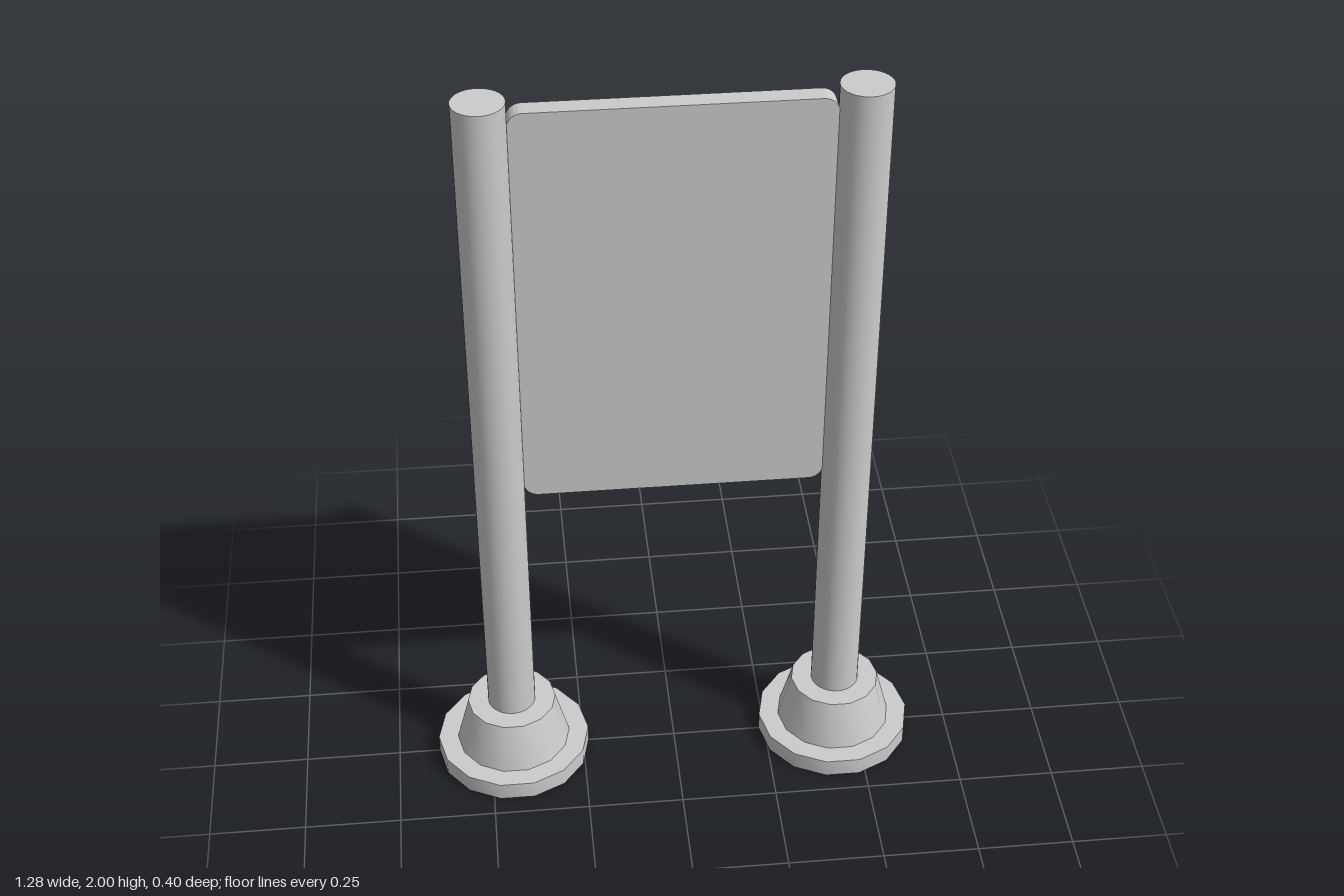
import * as THREE from 'three';
import { toCreasedNormals } from 'three/addons/utils/BufferGeometryUtils.js';

const grey = new THREE.MeshStandardMaterial({ color: 0xcccccc });
const shell = new THREE.MeshStandardMaterial({ color: 0xcccccc, side: THREE.DoubleSide });

// Hollow foot: flat rim and tapered collar, open underneath
function makeFoot() {
  const profile = [[0.203, 0], [0.203, 0.05], [0.151, 0.05], [0.117, 0.18], [0, 0.18]]
    .map(([r, y]) => new THREE.Vector2(r, y));
  const geometry = new THREE.LatheGeometry(profile, 14, Math.PI / 2);
  const foot = new THREE.Mesh(toCreasedNormals(geometry, Math.PI / 6), shell);
  foot.name = 'foot';
  return foot;
}

// Round post standing on the foot
function makePost() {
  const post = new THREE.Mesh(new THREE.CylinderGeometry(0.063, 0.063, 1.82, 32), grey);
  post.position.y = 1.09;
  post.name = 'post';
  return post;
}

// Flat board with rounded corners
function makePanel() {
  const w = 0.377, y0 = 0.88, y1 = 1.97, r = 0.037;
  const outline = new THREE.Shape();
  outline.absarc(w - r, y0 + r, r, -Math.PI / 2, 0);
  outline.absarc(w - r, y1 - r, r, 0, Math.PI / 2);
  outline.absarc(-w + r, y1 - r, r, Math.PI / 2, Math.PI);
  outline.absarc(-w + r, y0 + r, r, Math.PI, Math.PI * 1.5);
  const geometry = new THREE.ExtrudeGeometry(outline, { depth: 0.049, bevelEnabled: false, curveSegments: 8 });
  geometry.translate(0, 0, -0.042);
  const panel = new THREE.Mesh(toCreasedNormals(geometry, Math.PI / 6), grey);
  panel.name = 'panel';
  return panel;
}

export function createModel() {
  const model = new THREE.Group();
  model.name = 'signStand';

  // Two matching supports
  for (const [name, side] of [['leftSupport', 1], ['rightSupport', -1]]) {
    const support = new THREE.Group();
    support.name = name;
    support.add(makeFoot(), makePost());
    support.position.x = side * 0.438;
    model.add(support);
  }

  model.add(makePanel());
  return model;
}
